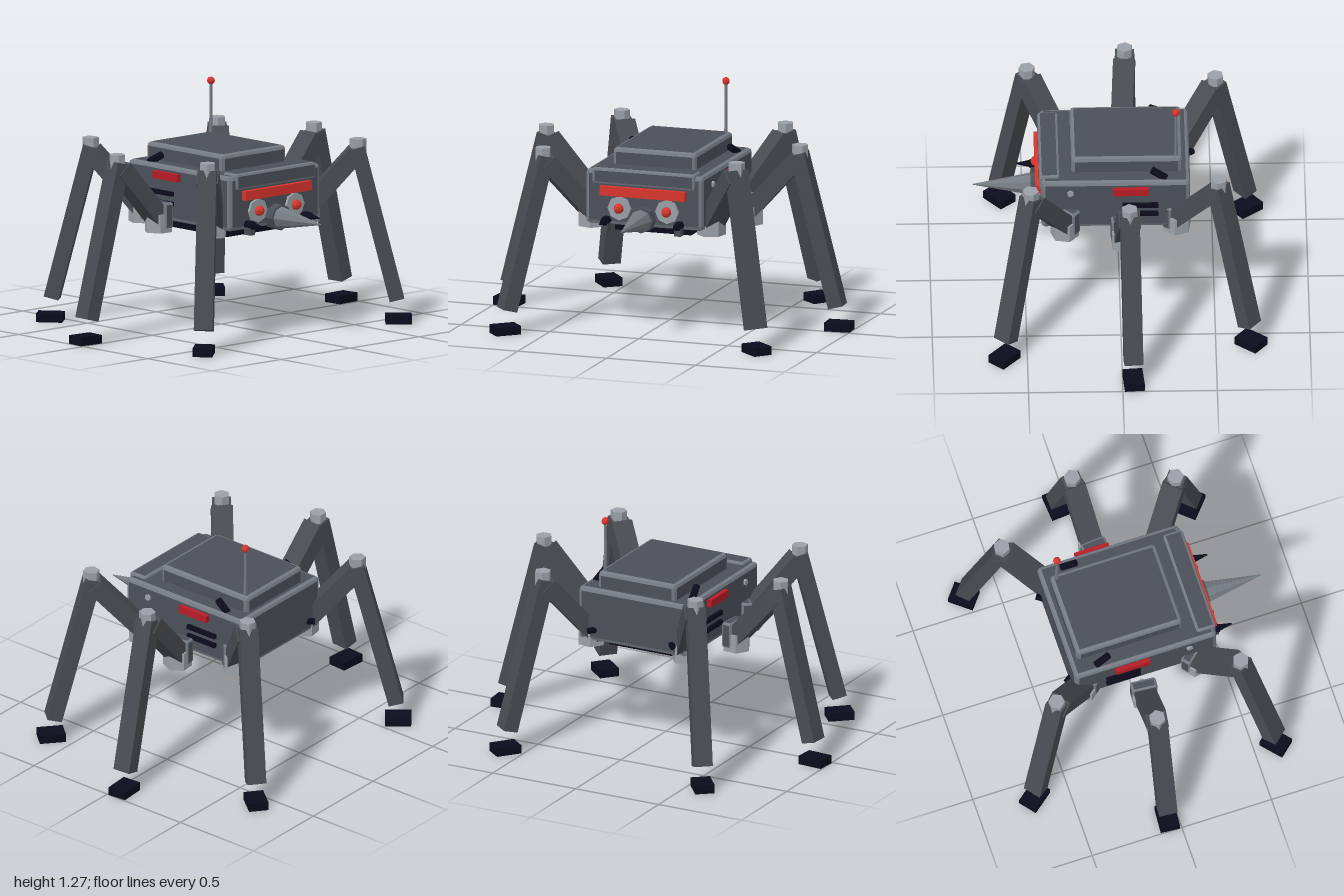
import * as THREE from 'three';
import { RoundedBoxGeometry } from 'three/addons/geometries/RoundedBoxGeometry.js';

const mat = (name, color) => {
  const m = new THREE.MeshStandardMaterial({ color, flatShading: true });
  m.name = name;
  return m;
};

export function createModel() {
  const hull = mat('hull grey', 0x4b5059);
  const trim = mat('edge trim grey', 0x747b83);
  const legGrey = mat('leg grey', 0x484c52);
  const light = mat('joint light grey', 0x9aa0a8);
  const steel = mat('steel grey', 0x747a81);
  const dark = mat('dark navy', 0x0b0b1c);
  const red = mat('red', 0xd8352b);
  const crimson = mat('crimson', 0xb81c26);

  const root = new THREE.Group();
  root.name = 'walker';

  const add = (parent, name, geo, material, x = 0, y = 0, z = 0) => {
    const m = new THREE.Mesh(geo, material);
    m.name = name;
    m.position.set(x, y, z);
    parent.add(m);
    return m;
  };
  const box = (w, h, d) => new THREE.BoxGeometry(w, h, d);
  // Cylinder or cone lying along +x
  const rodX = (r0, r1, len, sides) =>
    new THREE.CylinderGeometry(r1, r0, len, sides).rotateZ(-Math.PI / 2);

  // Chamfered box whose slanted edge faces take the trim colour
  const chamferBox = (w, h, d, r) => {
    const src = new RoundedBoxGeometry(w, h, d, 1, r);
    const geo = src.index ? src.toNonIndexed() : src;
    geo.clearGroups();
    const p = geo.attributes.position;
    const v = [0, 1, 2].map(() => new THREE.Vector3());
    const n = new THREE.Vector3();
    const tri = new THREE.Triangle();
    for (let i = 0; i < p.count; i += 3) {
      v.forEach((q, k) => q.fromBufferAttribute(p, i + k));
      tri.set(v[0], v[1], v[2]).getNormal(n);
      const flat = Math.max(Math.abs(n.x), Math.abs(n.y), Math.abs(n.z)) > 0.99;
      geo.addGroup(i, 3, flat ? 0 : 1);
    }
    return geo;
  };
  const hullMats = [hull, trim];

  // Hull, raised deck, brow and belly plate
  add(root, 'body', chamferBox(0.79, 0.295, 0.66, 0.022), hullMats, 0.025, 0.735, 0);
  add(root, 'topDeck', chamferBox(0.59, 0.11, 0.47, 0.022), hullMats, -0.035, 0.915, 0);
  add(root, 'brow', chamferBox(0.11, 0.09, 0.58, 0.015), hullMats, 0.375, 0.85, 0);
  add(root, 'bellyPlate', box(0.51, 0.06, 0.43), dark, 0.02, 0.56, 0);

  // Face: visor bar and nose spike
  add(root, 'visorBar', box(0.03, 0.05, 0.48), red, 0.434, 0.775, 0);
  add(root, 'noseCollar', rodX(0.07, 0.07, 0.06, 8), hull, 0.44, 0.635, 0);
  add(root, 'noseSpike', rodX(0.06, 0.002, 0.31, 8), steel, 0.622, 0.635, 0);

  // Paired details, mirrored in z
  for (const s of [1, -1]) {
    add(root, 'eyeDisc', rodX(0.065, 0.065, 0.02, 8), light, 0.425, 0.684, s * 0.134);
    add(root, 'eye', new THREE.SphereGeometry(0.028, 8, 6), red, 0.44, 0.684, s * 0.134);

    add(root, 'gunBase', rodX(0.024, 0.024, 0.05, 6), dark, 0.445, 0.615, s * 0.205);
    add(root, 'gunTip', rodX(0.02, 0.004, 0.075, 6), dark, 0.505, 0.615, s * 0.205);
    add(root, 'gunBracket', box(0.05, 0.045, 0.035), legGrey, 0.44, 0.585, s * 0.205);

    add(root, 'sidePanel', box(0.19, 0.04, 0.035), crimson, -0.055, 0.83, s * 0.338);
    for (const y of [0.738, 0.684]) {
      add(root, 'ventSlot', box(0.19, 0.023, 0.03), dark, -0.105, y, s * 0.334);
    }
    const bolt = new THREE.CylinderGeometry(0.018, 0.018, 0.015, 6).rotateX(Math.PI / 2);
    add(root, 'bolt', bolt, light, 0.265, 0.815, s * 0.334);

    // Tilted tubes on the roof and exhaust stubs at the rear
    const tube = add(root, 'roofTube', rodX(0.02, 0.02, 0.09, 8), dark, -0.205, 0.9, s * 0.282);
    tube.rotation.set(0, s * 0.2, 0.5);
    const exhaust = add(root, 'exhaust', rodX(0.018, 0.018, 0.05, 8), dark, -0.375, 0.65, s * 0.24);
    exhaust.rotation.y = s * 0.6;
  }

  // Antenna
  add(root, 'antennaRod', new THREE.CylinderGeometry(0.008, 0.01, 0.29, 6), steel, -0.296, 1.1, -0.205);
  add(root, 'antennaTip', new THREE.SphereGeometry(0.021, 8, 6), red, -0.296, 1.247, -0.205);

  // Beam in the leg's own plane, between [reach, height] points
  const beam = (leg, name, a, b, w, t) => {
    const dz = b[0] - a[0], dy = b[1] - a[1];
    const m = add(leg, name, box(w, Math.hypot(dz, dy), t), legGrey, 0, (a[1] + b[1]) / 2, (a[0] + b[0]) / 2);
    m.rotation.x = Math.atan2(dz, dy);
  };

  // Legs: hip x, hip z, outward direction x and z
  const legs = [
    ['frontLeg', 0.295, 0.335, 0.659, 0.752],
    ['middleLeg', -0.02, 0.435, -0.077, 0.997],
    ['rearLeg', -0.3, 0.285, -0.78, 0.625],
  ];
  for (const [name, x, z, dx, dz] of legs) {
    for (const s of [1, -1]) {
      const leg = new THREE.Group();
      leg.name = name;
      leg.position.set(x, 0, s * z);
      leg.rotation.y = Math.atan2(dx, s * dz);
      add(leg, 'hip', new THREE.CylinderGeometry(0.077, 0.077, 0.1, 6), light, 0, 0.6, 0);
      add(leg, 'hipMount', chamferBox(0.14, 0.14, 0.06, 0.012), hullMats, 0, 0.64, -0.02);
      beam(leg, 'upperLeg', [0, 0.62], [0.27, 0.92], 0.115, 0.095);
      beam(leg, 'lowerLeg', [0.275, 0.95], [0.485, 0.13], 0.1, 0.08);
      add(leg, 'knee', new THREE.CylinderGeometry(0.044, 0.044, 0.1, 6), light, 0, 0.945, 0.28);
      add(leg, 'foot', box(0.105, 0.046, 0.14), dark, 0, 0.024, 0.495);
      root.add(leg);
    }
  }
  return root;
}
